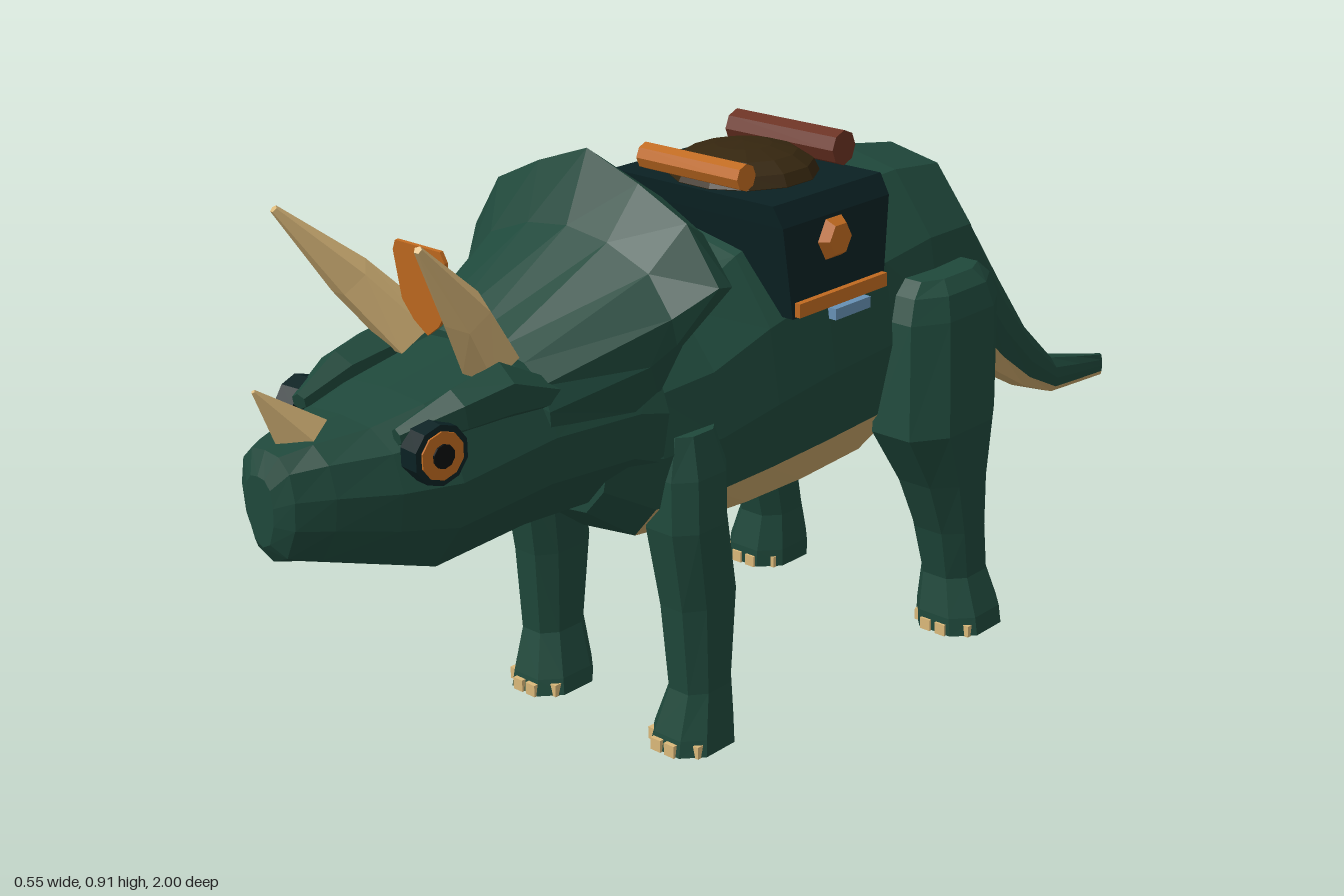
import * as THREE from 'three';

const mat = (name, color) => Object.assign(new THREE.MeshStandardMaterial({ color }), { name });

export function createModel() {
  const model = new THREE.Group();
  model.name = 'hornedDinosaur';
  const hide = mat('green hide', 0x1f483b), belly = mat('belly tan', 0xc4a267), horn = mat('horn ivory', 0xdab87a);
  const cloth = mat('dark saddle cloth', 0x0a2123), leather = mat('seat leather', 0x35260f);
  const bronze = mat('bronze', 0xc06a20), roll = mat('red brown roll', 0x6b3222);
  const blue = mat('blue plate', 0x6690b4), black = mat('eye black', 0x0a0f0f);

  // Faceted mesh
  const add = (name, geo, material, parent = model) => {
    const g = geo.index ? geo.toNonIndexed() : geo;
    g.computeVertexNormals();
    const m = new THREE.Mesh(g, material);
    m.name = name;
    parent.add(m);
    return m;
  };

  // Closed skin over equal-sized rings of [x, y, z]; triangles are turned to face outward.
  // isSecond(ring, side) moves a strip of faces to a second mesh.
  function loft(name, rings, material, second, isSecond = () => false) {
    const n = rings[0].length, parts = [[], []];
    const mean = (r) => [0, 1, 2].map((k) => r.reduce((s, p) => s + p[k], 0) / n);
    rings.slice(0, -1).forEach((r, i) => {
      const q = rings[i + 1];
      for (let j = 0; j < n; j++) {
        const k = (j + 1) % n;
        parts[isSecond(i, j) ? 1 : 0].push([r[j], r[k], q[k]], [r[j], q[k], q[j]]);
      }
    });
    const first = rings[0], last = rings[rings.length - 1], a = mean(first), b = mean(last);
    for (let j = 0; j < n; j++) {
      const k = (j + 1) % n;
      parts[0].push([a, first[k], first[j]], [b, last[j], last[k]]);
    }
    const v = (p) => new THREE.Vector3(...p);
    const volume = parts.flat().reduce((s, t) => s + v(t[0]).dot(v(t[1]).cross(v(t[2]))), 0);
    parts.forEach((tris, i) => {
      if (!tris.length) return;
      const pos = tris.flatMap((t) => (volume < 0 ? [t[0], t[2], t[1]] : t)).flat();
      const g = new THREE.BufferGeometry();
      g.setAttribute('position', new THREE.Float32BufferAttribute(pos, 3));
      add(i ? name + 'Underside' : name, g, i ? second : material);
    });
  }

  // Mirror a half outline (top centre first) into a full ring
  const mirror = (half) => [
    ...half,
    ...half.filter((p) => p[0] > 1e-6).reverse().map(([x, y, z]) => [-x, y, z]),
  ];
  // Cross-section: z, top, bottom, half width
  const section = (profile) => ([z, top, bot, w]) =>
    mirror(profile.map(([px, py]) => [px * w, bot + py * (top - bot), z]));

  // Tapered bent tube through points [x, y, z, radius]
  const tube = (name, pts, sides, material) => {
    const at = (i) => new THREE.Vector3(...pts[i].slice(0, 3));
    loft(name, pts.map((p, i) => {
      const dir = at(Math.min(i + 1, pts.length - 1)).sub(at(Math.max(i - 1, 0))).normalize();
      const q = new THREE.Quaternion().setFromUnitVectors(new THREE.Vector3(0, 0, 1), dir);
      return Array.from({ length: sides }, (_, k) => {
        const a = (k / sides) * Math.PI * 2 + Math.PI / 2;
        return new THREE.Vector3(Math.cos(a) * p[3], Math.sin(a) * p[3], 0)
          .applyQuaternion(q).add(at(i)).toArray();
      });
    }), material);
  };

  // Trunk and tail, with a tan strip below
  const trunk = section([[0, 1], [0.52, 0.95], [0.9, 0.72], [1, 0.45], [0.9, 0.2], [0.64, 0.04], [0, 0]]);
  const trunkRings = [
    [0.5, 0.66, 0.4, 0.14], [0.42, 0.675, 0.34, 0.17], [0.3, 0.69, 0.325, 0.178], [0.18, 0.745, 0.315, 0.183],
    [0.05, 0.785, 0.312, 0.186], [-0.09, 0.8, 0.32, 0.19], [-0.2, 0.803, 0.37, 0.195], [-0.32, 0.787, 0.395, 0.185],
    [-0.4, 0.715, 0.39, 0.135], [-0.5, 0.615, 0.365, 0.085], [-0.6, 0.5, 0.305, 0.054], [-0.7, 0.375, 0.25, 0.044],
    [-0.8, 0.285, 0.212, 0.035], [-0.9, 0.258, 0.2, 0.021], [-1, 0.232, 0.188, 0.006],
  ];
  loft('body', trunkRings.map(trunk), hide, belly, (i, j) => i > 0 && j >= 4 && j <= 7);

  // Head with beak
  const skull = section([[0, 1], [0.5, 0.98], [0.86, 0.86], [1, 0.62], [0.92, 0.36], [0.55, 0.08], [0, 0]]);
  loft('head', [
    [0.42, 0.68, 0.375, 0.182], [0.47, 0.68, 0.405, 0.175], [0.62, 0.685, 0.41, 0.16], [0.78, 0.66, 0.4, 0.148],
    [0.86, 0.645, 0.43, 0.12], [0.94, 0.64, 0.46, 0.083], [0.985, 0.632, 0.475, 0.055], [1, 0.6, 0.5, 0.028],
  ].map(skull), hide);

  // Neck frill: head, mid flare, front rim, back rim, neck
  loft('frill', [
    [[0, 0.69, 0.63], [0.06, 0.69, 0.63], [0.11, 0.68, 0.63], [0.145, 0.655, 0.63], [0.158, 0.62, 0.63], [0.15, 0.57, 0.62]],
    [[0, 0.81, 0.435], [0.08, 0.8, 0.435], [0.16, 0.77, 0.435], [0.208, 0.715, 0.44], [0.195, 0.65, 0.47], [0.172, 0.58, 0.48]],
    [[0, 0.915, 0.39], [0.1, 0.88, 0.39], [0.19, 0.838, 0.388], [0.247, 0.755, 0.385], [0.208, 0.675, 0.43], [0.178, 0.6, 0.44]],
    [[0, 0.88, 0.342], [0.1, 0.85, 0.342], [0.182, 0.812, 0.345], [0.242, 0.748, 0.352], [0.205, 0.67, 0.415], [0.176, 0.6, 0.43]],
    [[0, 0.69, 0.43], [0.06, 0.685, 0.43], [0.11, 0.67, 0.43], [0.14, 0.65, 0.43], [0.16, 0.62, 0.43], [0.165, 0.6, 0.43]],
  ].map(mirror), hide);

  // Nose horn and forehead shield
  tube('noseHorn', [[0, 0.615, 0.915, 0.044], [0, 0.715, 0.996, 0.003]], 4, horn);
  const shield = new THREE.Shape([[-0.045, 0.13], [0.045, 0.13], [0.052, 0.115], [0.045, 0.045], [0.025, 0.018], [0, 0],
    [-0.025, 0.018], [-0.045, 0.045], [-0.052, 0.115]].map((p) => new THREE.Vector2(...p)));
  const badge = add('foreheadShield', new THREE.ExtrudeGeometry(shield, { depth: 0.006, bevelEnabled: false }), bronze);
  badge.position.set(0, 0.714, 0.697);
  badge.rotation.x = 0.08;

  // Legs: y, back z, front z, inner x, outer x
  const hindLeg = [
    [0.632, -0.28, -0.13, 0.16, 0.228], [0.61, -0.305, -0.105, 0.13, 0.247], [0.57, -0.322, -0.09, 0.12, 0.257],
    [0.385, -0.303, -0.073, 0.125, 0.275],
    [0.285, -0.283, -0.135, 0.14, 0.266], [0.19, -0.285, -0.175, 0.15, 0.258], [0.1, -0.305, -0.198, 0.155, 0.25],
    [0.035, -0.322, -0.187, 0.15, 0.272], [0.004, -0.322, -0.187, 0.15, 0.277],
  ];
  const frontLeg = [
    [0.515, 0.31, 0.395, 0.12, 0.185], [0.45, 0.29, 0.41, 0.095, 0.2], [0.37, 0.295, 0.415, 0.1, 0.205],
    [0.24, 0.275, 0.395, 0.112, 0.2], [0.1, 0.288, 0.385, 0.12, 0.198], [0.03, 0.285, 0.405, 0.1, 0.207],
    [0.004, 0.285, 0.41, 0.095, 0.21],
  ];
  const c = 0.5;
  const octagon = [[1, c], [c, 1], [-c, 1], [-1, c], [-1, -c], [-c, -1], [c, -1], [1, -c]];
  const box = (name, size, pos, material) => add(name, new THREE.BoxGeometry(...size), material).position.set(...pos);

  for (const [side, s] of [['left', 1], ['right', -1]]) {
    for (const [leg, rows] of [['HindLeg', hindLeg], ['FrontLeg', frontLeg]]) {
      loft(side + leg, rows.map(([y, z0, z1, x0, x1]) => octagon.map(([u, v]) =>
        [s * ((x0 + x1) / 2 + (u * (x1 - x0)) / 2), y, (z0 + z1) / 2 + (v * (z1 - z0)) / 2])), hide);
      // Toenails along the front of the foot
      const [, , z1, x0, x1] = rows[rows.length - 1];
      for (const t of [-0.72, -0.28, 0.2, 0.72]) {
        const z = z1 - Math.max(0, Math.abs(t) - c) * 0.1;
        box('toenail', [0.02, 0.02, 0.014], [s * ((x0 + x1) / 2 + (t * (x1 - x0)) / 2), 0.013, z - 0.003], horn);
      }
    }
    // Brow ridge and brow horn
    tube(side + 'Brow', [[s * 0.14, 0.635, 0.6, 0.018], [s * 0.122, 0.658, 0.69, 0.042], [s * 0.118, 0.65, 0.765, 0.033],
      [s * 0.1, 0.635, 0.85, 0.012]], 6, hide);
    tube(side + 'BrowHorn', [[s * 0.08, 0.69, 0.665, 0.042], [s * 0.117, 0.78, 0.735, 0.034], [s * 0.144, 0.894, 0.835, 0.006]], 5, horn);

    // Eye: dark socket, bronze iris, pupil
    const eye = new THREE.Group();
    eye.name = side + 'Eye';
    eye.position.set(s * 0.132, 0.612, 0.815);
    eye.rotation.y = s * (Math.PI / 2 - 0.1);
    for (const [name, r, d, z, m] of [['socket', 0.043, 0.034, 0, cloth], ['iris', 0.034, 0.004, 0.018, bronze], ['pupil', 0.017, 0.004, 0.021, black]]) {
      const disc = add(name, new THREE.CylinderGeometry(r, r, d, 10).rotateX(Math.PI / 2), m, eye);
      disc.position.z = z;
    }
    model.add(eye);

    // Saddle side fittings
    box(side + 'SaddleTrim', [0.014, 0.022, 0.21], [s * 0.186, 0.649, 0.04], bronze);
    box(side + 'SaddlePlate', [0.03, 0.018, 0.085], [s * 0.172, 0.619, 0.01], blue);
    const medal = add(side + 'Medallion', new THREE.CylinderGeometry(0.026, 0.039, 0.018, 6).rotateZ(-s * Math.PI / 2), bronze);
    medal.position.set(s * 0.188, 0.742, 0.055);
  }

  // Saddle cloth block: y, half width, back z, front z
  loft('saddle', [[0.635, 0.183, -0.068, 0.15], [0.78, 0.182, -0.08, 0.172], [0.812, 0.165, -0.08, 0.175]].map(
    ([y, x, z0, z1]) => [[x, y, z0], [x, y, z1], [-x, y, z1], [-x, y, z0]]), cloth);
  // Domed seat between two rolls
  const seat = add('seat', new THREE.SphereGeometry(1, 12, 8).rotateY(Math.PI / 12), leather);
  seat.scale.set(0.118, 0.048, 0.118);
  seat.position.set(0, 0.813, 0.052);
  const bar = (name, r, len, y, z, m) =>
    add(name, new THREE.CylinderGeometry(r, r, len, 8).rotateZ(Math.PI / 2), m).position.set(0, y, z);
  bar('frontRoll', 0.021, 0.205, 0.842, 0.162, bronze);
  bar('rearRoll', 0.028, 0.22, 0.846, -0.058, roll);
  return model;
}
